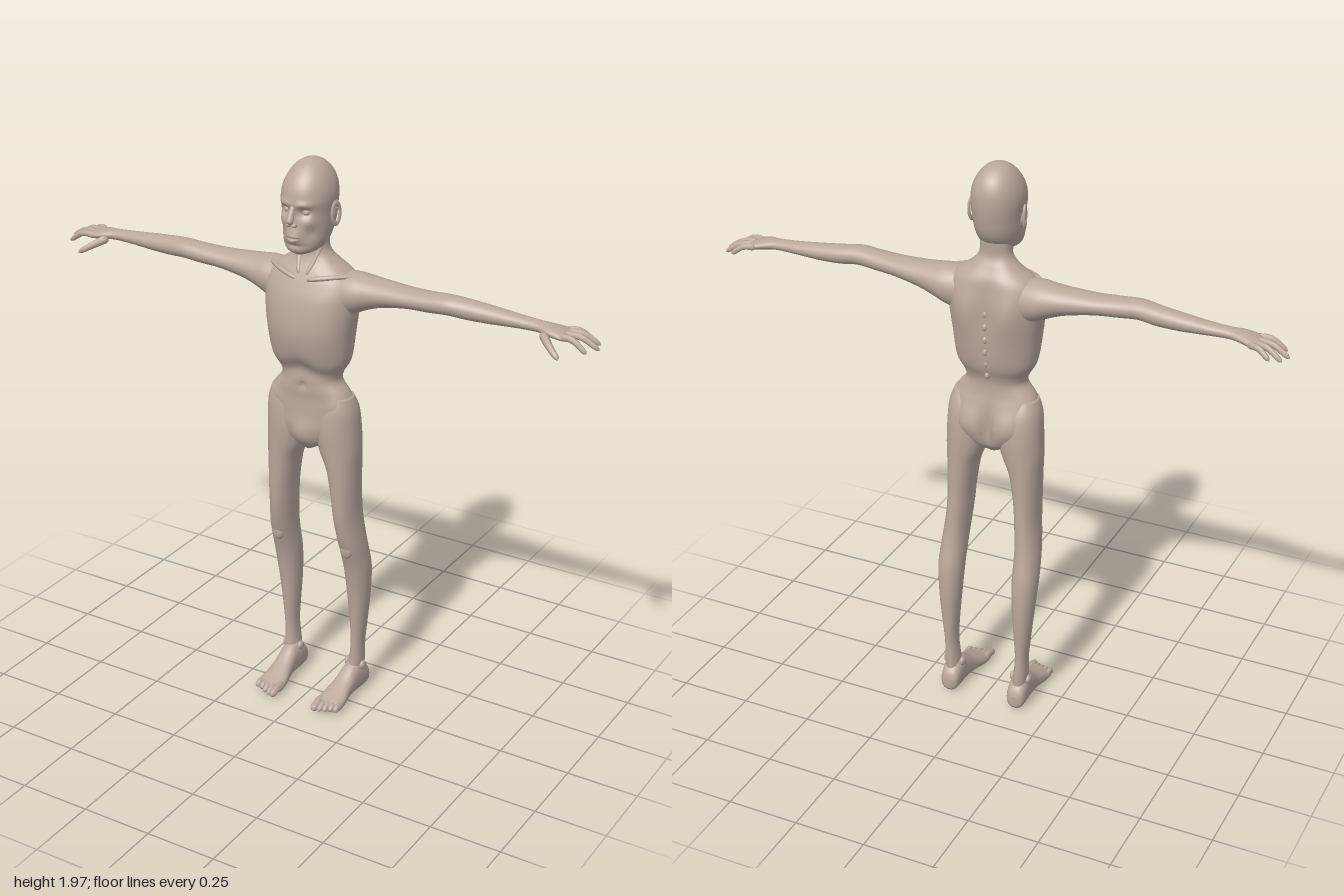
import * as THREE from 'three';

const skin = new THREE.MeshStandardMaterial({ color: 0xb9a79b });
skin.name = 'skin';

const bell = (d, r) => Math.exp(-(d * d) / (r * r));

// Smooth value along the rows of a cross-section list
function sample(rows, u) {
  const i = Math.min(Math.floor(u), rows.length - 2), f = u - i;
  const at = k => rows[Math.max(0, Math.min(rows.length - 1, k))];
  const [p, q, r, s] = [at(i - 1), at(i), at(i + 1), at(i + 2)];
  return q.map((v, k) => v + 0.5 * f * (r[k] - p[k]
    + f * (2 * p[k] - 5 * v + 4 * r[k] - s[k] + f * (3 * (v - r[k]) + s[k] - p[k]))));
}

// Loft of rows [t, a0, a1, b0, b1]; axes tells which world axes t, a and b are
function loft(rows, axes, { side = 1, steps = 5, seg = 36, power = 1, shape } = {}) {
  const pos = [], idx = [], n = (rows.length - 1) * steps;
  const put = (t, a, b) => {
    const p = new THREE.Vector3();
    p[axes[0]] = t; p[axes[1]] = a; p[axes[2]] = b;
    if (shape) shape(p);
    pos.push(p.x * side, p.y, p.z);
  };
  const round = v => Math.sign(v) * Math.abs(v) ** power;
  for (let i = 0; i <= n; i++) {
    const [t, a0, a1, b0, b1] = sample(rows, i / steps);
    for (let j = 0; j < seg; j++) {
      const w = (j / seg) * Math.PI * 2;
      put(t, (a0 + a1) / 2 + round(Math.cos(w)) * (a1 - a0) / 2,
        (b0 + b1) / 2 + round(Math.sin(w)) * (b1 - b0) / 2);
    }
  }
  const flip = (axes === 'yxz') !== (side < 0);
  const tri = (a, b, c) => (flip ? idx.push(a, c, b) : idx.push(a, b, c));
  for (let i = 0; i < n; i++) for (let j = 0; j < seg; j++) {
    const a = i * seg + j, b = i * seg + (j + 1) % seg;
    tri(a, b, a + seg);
    tri(b, b + seg, a + seg);
  }
  for (const [row, start] of [[rows[0], 0], [rows[rows.length - 1], n * seg]]) {
    const c = pos.length / 3;
    put(row[0], (row[1] + row[2]) / 2, (row[3] + row[4]) / 2);
    for (let j = 0; j < seg; j++) {
      const a = start + j, b = start + (j + 1) % seg;
      start ? tri(a, b, c) : tri(b, a, c);
    }
  }
  const g = new THREE.BufferGeometry();
  g.setAttribute('position', new THREE.Float32BufferAttribute(pos, 3));
  g.setIndex(idx);
  g.computeVertexNormals();
  return g;
}

// Tapered tube with rounded ends through a few points
function taper(points, r0, r1) {
  const curve = new THREE.CatmullRomCurve3(points.map(p => new THREE.Vector3(...p)));
  const n = 16, m = 10, g = new THREE.TubeGeometry(curve, n, 1, m);
  const p = g.attributes.position, v = new THREE.Vector3();
  for (let i = 0; i <= n; i++) {
    const t = i / n, c = curve.getPointAt(t), e = Math.min(1, Math.min(t, 1 - t) * 6);
    const r = (r0 + (r1 - r0) * t) * Math.sqrt(Math.max(0.0005, 1 - (1 - e) ** 2));
    for (let j = 0; j <= m; j++) {
      const k = i * (m + 1) + j;
      v.fromBufferAttribute(p, k).sub(c).multiplyScalar(r).add(c);
      p.setXYZ(k, v.x, v.y, v.z);
    }
  }
  g.computeVertexNormals();
  return g;
}

export function createModel() {
  const model = new THREE.Group();
  model.name = 'thinFigure';
  const add = (name, geometry) => {
    const m = new THREE.Mesh(geometry, skin);
    m.name = name;
    model.add(m);
    return m;
  };
  const blob = (name, at, size) => {
    const m = add(name, new THREE.SphereGeometry(1, 20, 14));
    m.position.set(...at);
    m.scale.set(...size);
    return m;
  };

  // Torso from crotch to neck, with rib arch, navel, shoulder blades and seat
  const torso = [
    [0.965, 0.02, -0.05, 0.03], [1.0, 0.085, -0.085, 0.055], [1.05, 0.145, -0.095, 0.064],
    [1.1, 0.16, -0.092, 0.062], [1.15, 0.152, -0.082, 0.06], [1.185, 0.135, -0.074, 0.062],
    [1.22, 0.108, -0.072, 0.064], [1.25, 0.112, -0.078, 0.07], [1.3, 0.138, -0.098, 0.092],
    [1.4, 0.152, -0.112, 0.112], [1.5, 0.165, -0.112, 0.1], [1.56, 0.165, -0.104, 0.078],
    [1.6, 0.135, -0.095, 0.058], [1.635, 0.085, -0.074, 0.038], [1.67, 0.056, -0.056, 0.03],
    [1.72, 0.052, -0.056, 0.035], [1.76, 0.05, -0.05, 0.035],
  ].map(([y, w, b, f]) => [y, -w, w, b, f]);
  add('torso', loft(torso, 'yxz', {
    seg: 64, steps: 6, power: 0.88,
    shape: p => {
      const ax = Math.abs(p.x);
      if (p.z > 0) {
        p.z -= 0.016 * bell(p.x, 0.07) * bell(p.y - 1.26 - 0.25 * (0.07 - ax), 0.03);
        p.z -= 0.01 * bell(p.x, 0.008) * bell(p.y - 1.205, 0.012);
        p.z += 0.012 * bell(p.x, 0.03) * bell(p.y - 1.03, 0.04);
        p.z += 0.009 * bell(ax - 0.12, 0.03) * bell(p.y - 1.14, 0.035);
      } else {
        p.z -= 0.012 * bell(ax - 0.085, 0.04) * bell(p.y - 1.49, 0.07);
        p.z += 0.014 * bell(p.x, 0.03) * bell(p.y - 1.45, 0.14);
        p.z -= 0.016 * bell(ax - 0.075, 0.05) * bell(p.y - 1.07, 0.06);
        p.z += 0.024 * bell(p.x, 0.016) * bell(p.y - 1.06, 0.07);
      }
    },
  }));
  for (let i = 0; i < 8; i++) blob('spineKnob', [0, 1.26 + i * 0.045, -0.08 - 0.018 * Math.sin(i * 0.45)], [0.009, 0.013, 0.01]);

  // Head with eye sockets, cheekbones and muzzle
  const head = [
    [1.671, 0.02, 0.045, 0.09], [1.685, 0.052, -0.01, 0.106], [1.71, 0.069, -0.05, 0.112],
    [1.75, 0.077, -0.078, 0.115], [1.8, 0.081, -0.09, 0.113], [1.85, 0.086, -0.095, 0.115],
    [1.89, 0.081, -0.092, 0.106], [1.925, 0.066, -0.078, 0.084], [1.952, 0.044, -0.052, 0.055],
    [1.965, 0.022, -0.026, 0.028], [1.97, 0.002, 0, 0.004],
  ].map(([y, w, b, f]) => [y, -w, w, b, f]);
  add('head', loft(head, 'yxz', {
    seg: 72, steps: 8, power: 0.95,
    shape: p => {
      if (p.z < 0.02) return;
      const ax = Math.abs(p.x);
      p.z -= 0.015 * bell(ax - 0.034, 0.018) * bell(p.y - 1.817, 0.016);
      p.z += 0.008 * bell(ax - 0.035, 0.028) * bell(p.y - 1.842, 0.01);
      p.z += 0.008 * bell(ax - 0.052, 0.016) * bell(p.y - 1.785, 0.018);
      p.z -= 0.008 * bell(ax - 0.05, 0.016) * bell(p.y - 1.745, 0.02);
      p.z += 0.009 * bell(p.x, 0.03) * bell(p.y - 1.737, 0.022);
      p.z -= 0.006 * bell(p.x, 0.03) * bell(p.y - 1.706, 0.008);
    },
  }));
  add('nose', taper([[0, 1.84, 0.112], [0, 1.812, 0.126], [0, 1.783, 0.138]], 0.008, 0.013));
  add('upperLip', taper([[-0.025, 1.736, 0.11], [0, 1.742, 0.125], [0.025, 1.736, 0.11]], 0.005, 0.005));
  add('lowerLip', taper([[-0.023, 1.731, 0.109], [0, 1.726, 0.123], [0.023, 1.731, 0.109]], 0.006, 0.006));

  // Paired parts
  for (const s of [1, -1]) {
    blob('eye', [s * 0.034, 1.817, 0.088], [0.014, 0.011, 0.012]);
    blob('nostril', [s * 0.011, 1.778, 0.122], [0.008, 0.007, 0.01]);
    blob('earBase', [s * 0.087, 1.797, 0.006], [0.007, 0.032, 0.016]).rotation.z = -s * 0.15;
    const rim = add('earRim', new THREE.TorusGeometry(0.017, 0.005, 8, 24));
    rim.position.set(s * 0.092, 1.8, 0.004);
    rim.rotation.set(0, s * 1.3, 0);
    rim.scale.y = 2.0;

    add('neckCord', taper([[s * 0.047, 1.71, 0.0], [s * 0.035, 1.66, 0.018], [s * 0.014, 1.59, 0.06]], 0.009, 0.008));
    add('collarbone', taper([[s * 0.015, 1.578, 0.066], [s * 0.08, 1.592, 0.052], [s * 0.16, 1.597, -0.005]], 0.009, 0.008));

    // Arm and palm
    add('arm', loft([
      [0.1, 1.45, 1.605, -0.09, 0.05], [0.16, 1.468, 1.606, -0.094, 0.05],
      [0.2, 1.487, 1.602, -0.09, 0.043], [0.26, 1.508, 1.597, -0.08, 0.035],
      [0.35, 1.525, 1.593, -0.067, 0.032], [0.43, 1.53, 1.596, -0.057, 0.032],
      [0.5, 1.535, 1.6, -0.053, 0.031], [0.56, 1.53, 1.595, -0.058, 0.02],
      [0.64, 1.53, 1.587, -0.059, 0.01], [0.73, 1.535, 1.578, -0.056, 0.002],
      [0.8, 1.537, 1.573, -0.053, 0.0], [0.84, 1.534, 1.57, -0.062, 0.012],
      [0.88, 1.53, 1.562, -0.074, 0.016], [0.905, 1.53, 1.551, -0.072, 0.008],
    ], 'xyz', { side: s }));
    const fingers = [
      [0.95, 1.52, -0.095, -0.064], [0.985, 1.514, -0.076, -0.044],
      [0.998, 1.512, -0.038, -0.022], [0.975, 1.512, 0.01, 0.001],
    ];
    for (const [x, y, z, z0] of fingers) {
      add('finger', taper([[s * 0.87, 1.545, z0], [s * (0.87 + x) / 2, 1.546, (z + z0) / 2], [s * x, y, z]], 0.012, 0.008));
    }
    add('thumb', taper([[s * 0.82, 1.545, -0.005], [s * 0.862, 1.522, 0.034], [s * 0.905, 1.496, 0.06]], 0.016, 0.009));

    // Leg with kneecap
    add('leg', loft([
      [0.06, 0.1, 0.152, -0.125, -0.045], [0.12, 0.108, 0.156, -0.128, -0.052],
      [0.2, 0.115, 0.157, -0.126, -0.055], [0.3, 0.109, 0.167, -0.132, -0.05],
      [0.4, 0.101, 0.177, -0.136, -0.04], [0.5, 0.096, 0.184, -0.131, -0.022],
      [0.58, 0.095, 0.181, -0.115, 0.004], [0.64, 0.093, 0.175, -0.105, 0.024],
      [0.72, 0.087, 0.167, -0.098, 0.041], [0.8, 0.08, 0.166, -0.094, 0.048],
      [0.9, 0.062, 0.168, -0.094, 0.052], [0.97, 0.032, 0.171, -0.096, 0.056],
      [1.05, 0.012, 0.169, -0.096, 0.06], [1.12, 0.03, 0.164, -0.082, 0.055],
      [1.17, 0.07, 0.148, -0.055, 0.04],
    ], 'yxz', { side: s, power: 0.92 }));
    blob('kneecap', [s * 0.137, 0.6, -0.002], [0.024, 0.034, 0.016]);

    // Foot and toes
    add('foot', loft([
      [-0.145, 0.115, 0.142, 0.018, 0.055], [-0.132, 0.097, 0.16, 0.004, 0.085],
      [-0.09, 0.092, 0.163, 0, 0.12], [-0.05, 0.092, 0.161, 0.002, 0.112],
      [0, 0.085, 0.162, 0.004, 0.078], [0.05, 0.074, 0.169, 0, 0.053],
      [0.085, 0.072, 0.17, 0, 0.038], [0.105, 0.08, 0.16, 0.004, 0.028],
    ], 'zxy', { side: s, power: 0.85 }));
    for (const b of [[-1, 0.099], [1, 0.159]]) blob('ankleBone', [s * b[1], 0.105, -0.085], [0.01, 0.016, 0.016]);
    for (let i = 0; i < 5; i++) {
      const x = 0.086 + i * 0.0185, r = i ? 0.01 : 0.014, tip = 0.138 - i * 0.007 - (i > 2 ? 0.004 : 0);
      add('toe', taper([[s * x, 0.026, 0.06], [s * x, 0.025, 0.1], [s * x, r, tip]], r, r * 0.95));
    }
  }
  return model;
}
